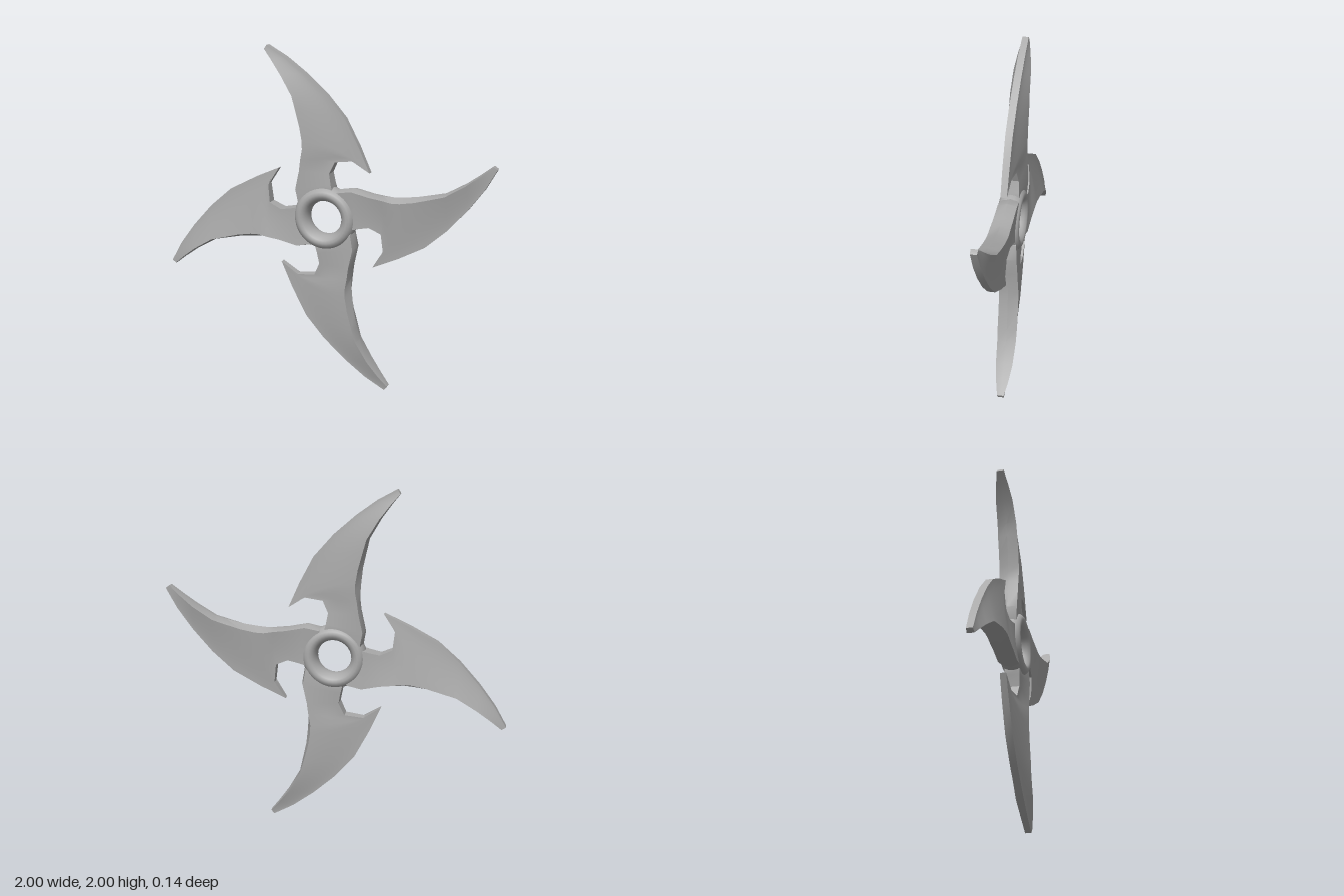
import * as THREE from 'three';
import { toCreasedNormals } from 'three/addons/utils/BufferGeometryUtils.js';

// Blade stations from hub to tip:
// spine x,y | control x,y | cutting edge x,y | half thickness at spine, at edge
const STATIONS = [
  [-0.13, 0.05, -0.02, 0.15, 0.05, 0.13, 0.045, 0.04],
  [-0.168, 0.07, -0.05, 0.16, 0.05, 0.17, 0.05, 0.045],
  [-0.184, 0.16, -0.06, 0.19, 0.042, 0.2, 0.055, 0.043],
  [-0.158, 0.27, -0.06, 0.27, 0.03, 0.265, 0.056, 0.038],
  [-0.15, 0.34, -0.04, 0.35, 0.062, 0.335, 0.057, 0.032],
  [-0.151, 0.4, 0.08, 0.39, 0.17, 0.347, 0.058, 0.025],
  [-0.155, 0.45, 0.1, 0.44, 0.266, 0.283, 0.058, 0.018],
  [-0.164, 0.53, 0.04, 0.53, 0.2, 0.43, 0.058, 0.02],
  [-0.186, 0.63, -0.03, 0.62, 0.117, 0.587, 0.058, 0.021],
  [-0.202, 0.7, -0.09, 0.72, 0.008, 0.712, 0.056, 0.021],
  [-0.268, 0.815, -0.19, 0.83, -0.12, 0.826, 0.05, 0.021],
  [-0.325, 0.895, -0.28, 0.91, -0.24, 0.915, 0.036, 0.02],
  [-0.372, 0.955, -0.365, 0.97, -0.355, 0.98, 0.02, 0.018],
];
const STEPS = 9;

// Closed section: ridge of the spine, front face, then back face
function section([lx, ly, mx, my, rx, ry, hL, hR]) {
  const curve = new THREE.QuadraticBezierCurve(
    new THREE.Vector2(lx, ly), new THREE.Vector2(mx, my), new THREE.Vector2(rx, ry));
  const front = [];
  for (let k = 0; k <= STEPS; k++) {
    const u = k / STEPS;
    const p = curve.getPoint(0.05 + 0.95 * u);
    // hollow-ground face: thick spine sweeping down to a thin edge
    front.push([p.x, p.y, hR + (hL - hR) * Math.pow(1 - u, 1.5)]);
  }
  const back = front.map(([x, y, z]) => [x, y, -z]).reverse();
  return [[lx, ly, 0], ...front, ...back];
}

function bladeGeometry() {
  const rings = STATIONS.map(section);
  const n = rings[0].length;
  const index = [];
  for (let i = 0; i < rings.length - 1; i++) {
    for (let j = 0; j < n; j++) {
      const a = i * n + j, b = i * n + (j + 1) % n;
      index.push(a, b, b + n, a, b + n, a + n);
    }
  }
  // end caps, zipped between the front and back faces
  const cap = (start, flip) => {
    const tri = (a, b, c) => index.push(start + a, start + (flip ? c : b), start + (flip ? b : c));
    tri(0, 1, n - 1);
    for (let k = 1; k <= STEPS; k++) {
      tri(k, k + 1, n - k - 1);
      tri(k, n - k - 1, n - k);
    }
  };
  cap(0, true);
  cap((rings.length - 1) * n, false);
  const geometry = new THREE.BufferGeometry();
  geometry.setAttribute('position', new THREE.Float32BufferAttribute(rings.flat(2), 3));
  geometry.setIndex(index);
  return toCreasedNormals(geometry, Math.PI / 6);
}

export function createModel() {
  const steel = new THREE.MeshStandardMaterial({ color: 0xaaaaaa });
  steel.name = 'grey steel';
  const model = new THREE.Group();
  model.name = 'throwingStar';

  // Central ring, deeper than its wall is wide
  const ring = new THREE.Mesh(new THREE.TorusGeometry(0.144, 0.045, 16, 40), steel);
  ring.name = 'centreRing';
  ring.scale.z = 1.5;
  ring.position.y = 1.02;
  model.add(ring);

  // Four hooked blades around the ring, with slightly uneven lengths
  const blade = bladeGeometry();
  const blades = [['topBlade', 1], ['rightBlade', 1.02], ['bottomBlade', 1.038], ['leftBlade', 1.018]];
  blades.forEach(([name, length], i) => {
    const mesh = new THREE.Mesh(blade, steel);
    mesh.name = name;
    mesh.position.set(0, 1.02, -0.004);
    mesh.rotation.z = i * Math.PI / 2;
    mesh.scale.set(length, length, 1);
    model.add(mesh);
  });
  return model;
}
